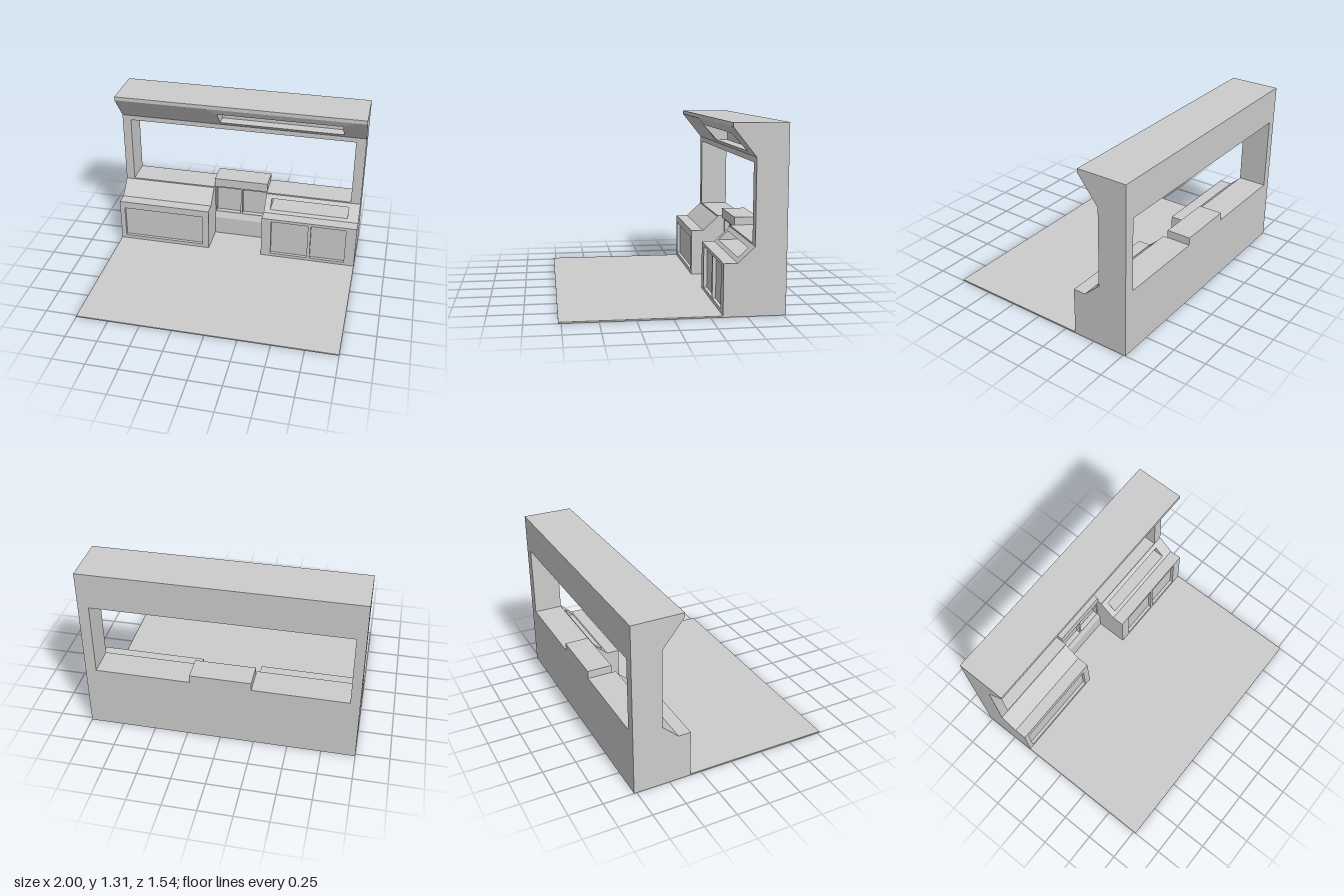
import * as THREE from 'three';
import { ConvexGeometry } from 'three/addons/geometries/ConvexGeometry.js';

const material = new THREE.MeshStandardMaterial({ color: 0xcccccc, flatShading: true });
const BACK = -0.77, FLOOR = 0.01, SILL = 0.49;

export function createModel() {
  const root = new THREE.Group();

  function add(name, geometry) {
    const mesh = new THREE.Mesh(geometry, material);
    mesh.name = name;
    root.add(mesh);
    return mesh;
  }

  function box(name, x0, x1, y0, y1, z0, z1) {
    add(name, new THREE.BoxGeometry(x1 - x0, y1 - y0, z1 - z0))
      .position.set((x0 + x1) / 2, (y0 + y1) / 2, (z0 + z1) / 2);
  }

  // Side profile of [z, y] points swept along x
  function prism(name, x0, x1, profile) {
    const shape = new THREE.Shape(profile.map(([z, y]) => new THREE.Vector2(-z, y)));
    const geometry = new THREE.ExtrudeGeometry(shape, { depth: x1 - x0, bevelEnabled: false });
    add(name, geometry.rotateY(Math.PI / 2).translate(x0, 0, 0));
  }

  function rectangle(PathType, x0, x1, y0, y1) {
    return new PathType([[x0, y0], [x1, y0], [x1, y1], [x0, y1]].map(([x, y]) => new THREE.Vector2(x, y)));
  }

  // Upright frame with rectangular openings that leave sunken panels
  function frame(name, x0, x1, y0, y1, z0, z1, openings) {
    const shape = rectangle(THREE.Shape, x0, x1, y0, y1);
    shape.holes = openings.map((o) => rectangle(THREE.Path, ...o));
    const geometry = new THREE.ExtrudeGeometry(shape, { depth: z1 - z0, bevelEnabled: false });
    add(name, geometry.translate(0, 0, z0));
  }

  box('floor', -1, 1, 0, FLOOR, BACK, 0.77);

  // Counters on both sides, with a sloping upper front
  const counterFront = [[BACK, FLOOR], [-0.36, FLOOR], [-0.36, 0.37], [-0.43, 0.37]];
  const fullCounter = [...counterFront, [-0.55, 0.48], [-0.55, SILL], [BACK, SILL]];
  prism('rightCounter', -1, -0.23, fullCounter);
  frame('rightCounterFrame', -1, -0.23, FLOOR, 0.37, -0.36, -0.335, [[-0.96, -0.285, 0.04, 0.31]]);

  // Left counter wraps around a deep slot in its slope
  prism('leftCounterInnerEnd', 0.22, 0.27, fullCounter);
  prism('leftCounterOuterEnd', 0.91, 1, fullCounter);
  prism('leftCounterBase', 0.27, 0.91, [...counterFront, [-0.452, 0.39], [BACK, 0.39]]);
  prism('leftCounterSlotTop', 0.27, 0.91,
    [[BACK, 0.455], [-0.523, 0.455], [-0.55, 0.48], [-0.55, SILL], [BACK, SILL]]);
  box('leftCounterSlotBack', 0.27, 0.91, 0.39, 0.455, BACK, -0.64);
  frame('leftCounterFrame', 0.22, 1, FLOOR, 0.37, -0.36, -0.335,
    [[0.3, 0.605, 0.035, 0.345], [0.63, 0.915, 0.035, 0.345]]);

  // Recessed centre console with two panels under a raised cap
  prism('consoleBase', -0.23, 0.22,
    [[BACK, FLOOR], [-0.585, FLOOR], [-0.585, 0.165], [-0.605, 0.21], [BACK, 0.21]]);
  box('consoleCore', -0.23, 0.22, 0.21, 0.475, BACK, -0.645);
  frame('consoleFrame', -0.23, 0.22, 0.21, 0.475, -0.645, -0.605,
    [[-0.22, -0.01, 0.22, 0.455], [0.005, 0.21, 0.22, 0.455]]);
  box('consoleCap', -0.23, 0.22, 0.475, 0.55, BACK, -0.585);

  // Posts beside the window
  box('rightPost', -1, -0.93, SILL, 1.04, BACK, -0.55);
  box('leftPost', 0.92, 1, SILL, 1.04, BACK, -0.55);

  // Canopy with an undercut front and a deep display slot
  const canopyFoot = [[BACK, 1.04], [-0.55, 1.04], [-0.55, 1.08]];
  const canopyHead = [[-0.39, 1.28], [-0.39, 1.31], [BACK, 1.31]];
  prism('canopyRight', -1, -0.17, [...canopyFoot, ...canopyHead]);
  prism('canopyLeft', 0.82, 1, [...canopyFoot, ...canopyHead]);
  prism('canopySlotFloor', -0.17, 0.82, [...canopyFoot, [-0.522, 1.11], [BACK, 1.11]]);
  prism('canopySlotTop', -0.17, 0.82, [[BACK, 1.23], [-0.416, 1.23], ...canopyHead]);
  box('canopySlotBack', -0.17, 0.82, 1.11, 1.23, BACK, -0.61);

  // Tapered cheeks at each end of the display slot
  for (const [name, outer, inner] of [['rightCheek', -0.27, -0.17], ['leftCheek', 0.92, 0.82]]) {
    add(name, new ConvexGeometry([
      [outer, 1.28, -0.39], [inner, 1.28, -0.39], [inner, 1.23, -0.416],
      [inner, 1.08, -0.55], [outer, 1.08, -0.55],
    ].map((p) => new THREE.Vector3(...p))));
  }

  return root;
}
